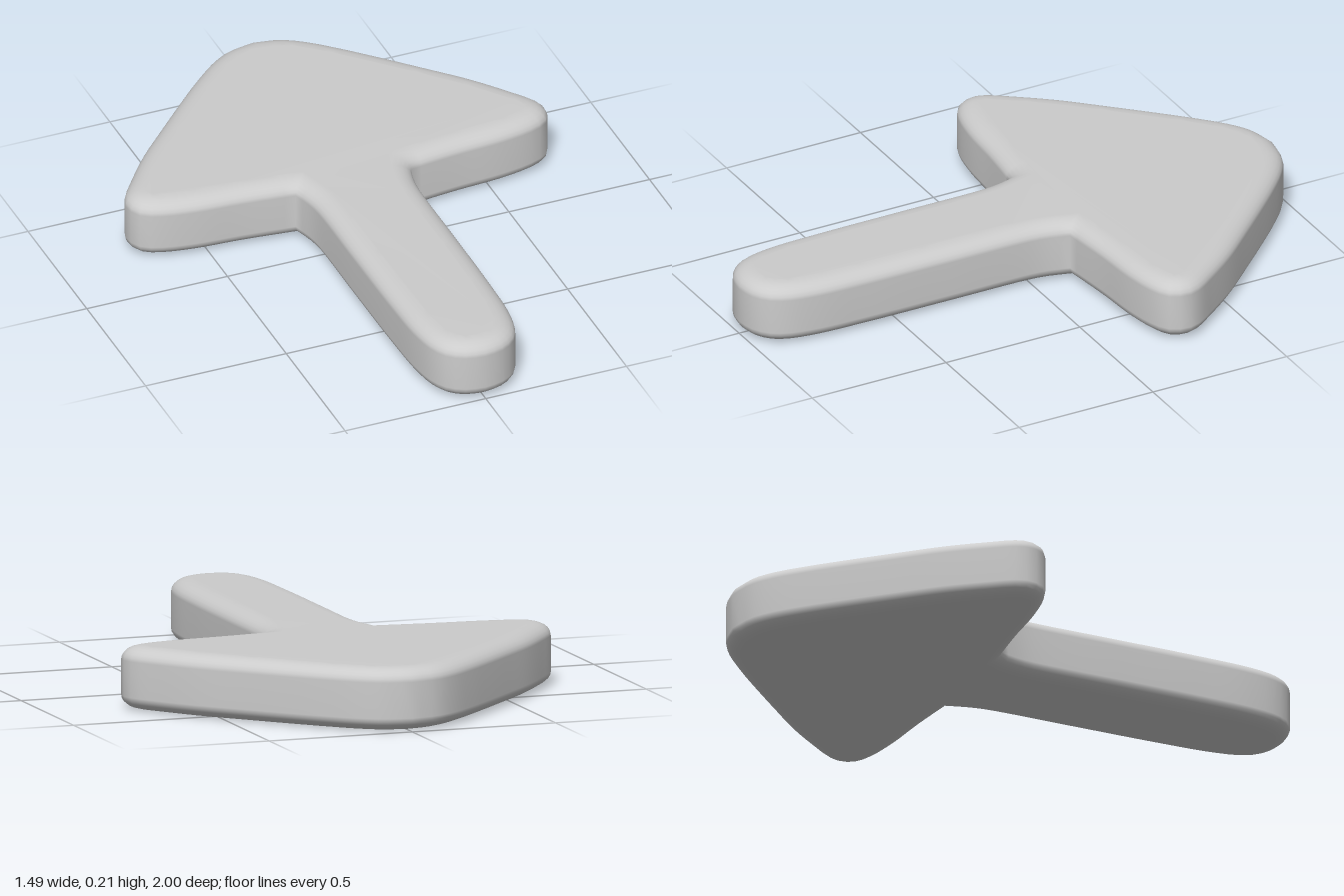
import * as THREE from 'three';
import { mergeVertices } from 'three/addons/utils/BufferGeometryUtils.js';

const HEIGHT = 0.21, BEVEL_HEIGHT = 0.045, BEVEL_INSET = 0.07;

// Right half of the outline as (x, z), split at the sharp inner corner
const HEAD = [[0, -1], [0.095, -0.98], [0.17, -0.935], [0.26, -0.855], [0.35, -0.765], [0.47, -0.64],
  [0.587, -0.515], [0.677, -0.4], [0.735, -0.315], [0.745, -0.265], [0.72, -0.21], [0.66, -0.18],
  [0.55, -0.158], [0.38, -0.145], [0.205, -0.125]];
const SHAFT = [[0.205, -0.125], [0.187, -0.06], [0.179, 0], [0.177, 0.3], [0.175, 0.6], [0.167, 0.8],
  [0.147, 0.9], [0.115, 0.955], [0.06, 0.99], [0, 1]];

function smoothPoints(points, count) {
  const curve = new THREE.CatmullRomCurve3(points.map(([x, z]) => new THREE.Vector3(x, -z, 0)), false, 'centripetal');
  return curve.getSpacedPoints(count).map(p => new THREE.Vector2(p.x, p.y));
}

export function createModel() {
  const group = new THREE.Group();
  group.name = 'arrow';

  // Half outline, mirrored across x = 0
  const half = [...smoothPoints(HEAD, 44), ...smoothPoints(SHAFT, 36).slice(1)];
  const mirrored = half.slice(1, -1).reverse().map(p => new THREE.Vector2(-p.x, p.y));

  // Slab with rounded rims, laid flat
  let geometry = new THREE.ExtrudeGeometry(new THREE.Shape([...half, ...mirrored]), {
    depth: HEIGHT - 2 * BEVEL_HEIGHT, bevelThickness: BEVEL_HEIGHT,
    bevelSize: BEVEL_INSET, bevelOffset: -BEVEL_INSET, bevelSegments: 6,
  });
  geometry.rotateX(-Math.PI / 2).translate(0, BEVEL_HEIGHT, 0);

  // Weld the faces for smooth shading
  geometry.deleteAttribute('uv');
  geometry.deleteAttribute('normal');
  geometry = mergeVertices(geometry, 1e-4);
  geometry.computeVertexNormals();

  const body = new THREE.Mesh(geometry, new THREE.MeshStandardMaterial({ color: 0xcccccc }));
  body.name = 'arrowBody';
  group.add(body);
  return group;
}
